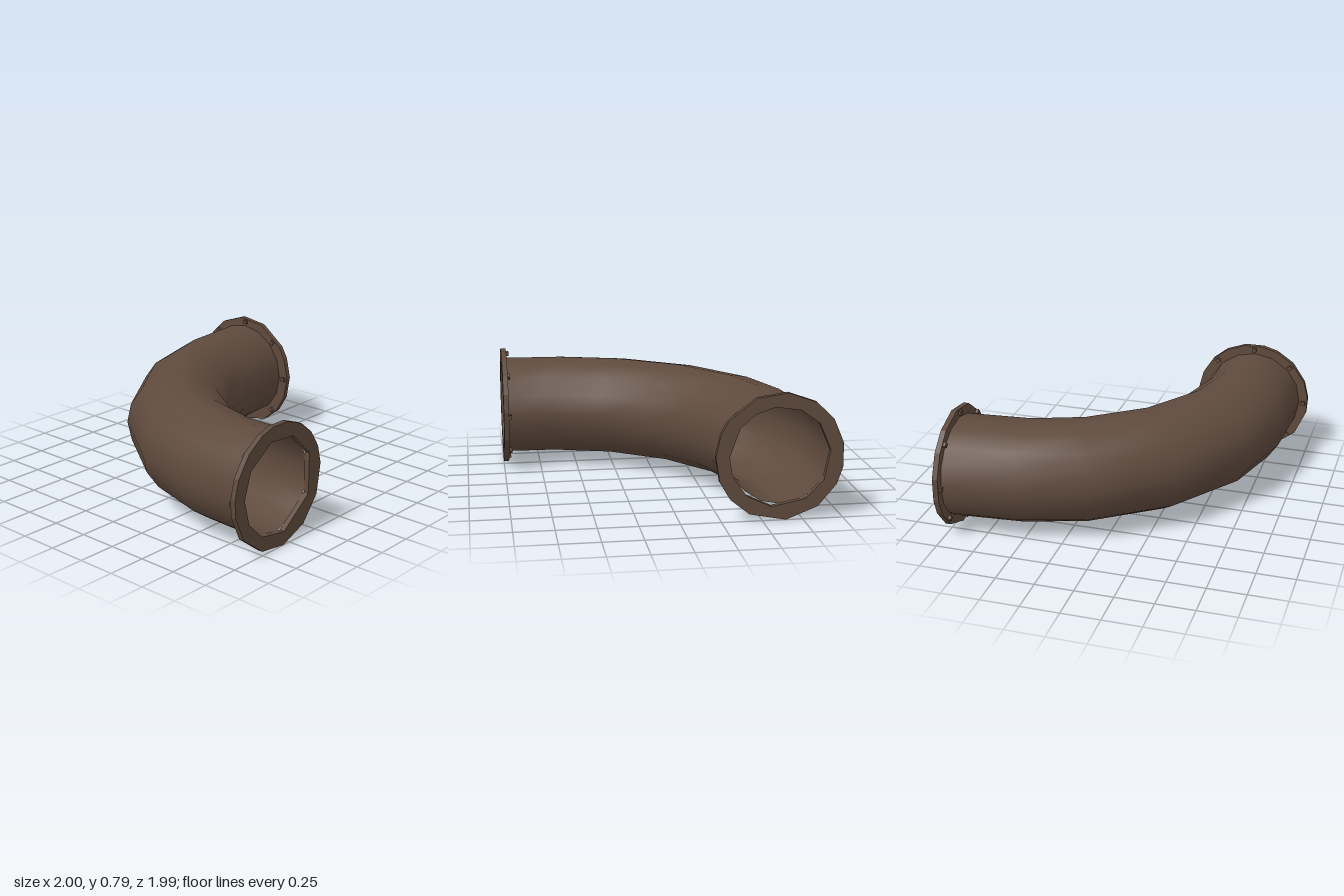
import * as THREE from 'three';

const CY = 0.4;    // height of the pipe axis
const R = 0.33;    // outer pipe radius
const BORE = 0.305;

// Each ring of the bend: [outer x, outer z, inner x, inner z]
const RINGS = [
  [-0.94, 0.97, -0.28, 0.97],
  [-0.91, 0.48, -0.28, 0.72],
  [-0.78, 0.05, -0.18, 0.37],
  [-0.43, -0.44, 0.02, 0.08],
  [0.06, -0.78, 0.29, -0.13],
  [0.5, -0.91, 0.56, -0.24],
  [0.97, -0.95, 0.97, -0.28],
];

// Loft a round section through the rings; inward flips the faces for the bore
function pipeWall(scale, inward) {
  const sides = 16, pos = [], idx = [];
  for (const [ox, oz, ix, iz] of RINGS) {
    const mx = (ox + ix) / 2, mz = (oz + iz) / 2;
    for (let j = 0; j < sides; j++) {
      const a = (j / sides) * Math.PI * 2, c = Math.cos(a) * scale;
      pos.push(mx + (ox - mx) * c, CY + Math.sin(a) * R * scale, mz + (oz - mz) * c);
    }
  }
  for (let i = 0; i < RINGS.length - 1; i++) {
    for (let j = 0; j < sides; j++) {
      const a = i * sides + j, b = i * sides + (j + 1) % sides;
      const c = a + sides, d = b + sides;
      if (inward) idx.push(a, c, b, b, c, d);
      else idx.push(a, b, c, b, d, c);
    }
  }
  const g = new THREE.BufferGeometry();
  g.setAttribute('position', new THREE.Float32BufferAttribute(pos, 3));
  g.setIndex(idx);
  g.computeVertexNormals();
  return g;
}

// Points on a circle at the given angles in degrees
const ringPoints = (angles, r) => angles.map((d) => {
  const a = THREE.MathUtils.degToRad(d);
  return new THREE.Vector2(Math.cos(a) * r, Math.sin(a) * r);
});

// Rough-cut flange facing local +z, with bolts on its back
function makeFlange(name, rim, hole, material) {
  const group = new THREE.Group();
  group.name = name;
  const shape = new THREE.Shape(ringPoints(rim, 0.395));
  shape.holes.push(new THREE.Path(ringPoints(hole, BORE + 0.005)));
  const plate = new THREE.Mesh(
    new THREE.ExtrudeGeometry(shape, { depth: 0.035, bevelEnabled: false }), material);
  plate.name = 'flangePlate';
  plate.position.z = -0.035;
  group.add(plate);

  const boltGeometry = new THREE.BoxGeometry(0.028, 0.028, 0.025);
  for (let i = 0; i < 8; i++) {
    const a = (i * Math.PI) / 4;
    const bolt = new THREE.Mesh(boltGeometry, material);
    bolt.name = 'bolt';
    bolt.position.set(Math.cos(a) * 0.365, Math.sin(a) * 0.365, -0.04);
    bolt.rotation.z = a;
    group.add(bolt);
  }
  return group;
}

export function createModel() {
  const model = new THREE.Group();
  model.name = 'pipeElbow';
  const rust = new THREE.MeshStandardMaterial({ color: 0x5f4a3d });
  rust.name = 'rustyBrown';

  // Curved pipe, outside and inside
  const outer = new THREE.Mesh(pipeWall(1, false), rust);
  outer.name = 'pipeOuterWall';
  const inner = new THREE.Mesh(pipeWall(BORE / R, true), rust);
  inner.name = 'pipeInnerWall';
  model.add(outer, inner);

  // Flange at the front end
  const front = makeFlange('frontFlange',
    [5, 23, 42, 60, 80, 99, 114, 134, 157, 175, 191, 217, 248, 277, 307, 336],
    [25, 67, 105, 146, 178, 210, 241, 280, 335], rust);
  front.position.set(-0.605, 0.395, 1);

  // Flange at the side end
  const side = makeFlange('sideFlange',
    [11, 35, 57, 84, 112, 144, 157, 178, 201, 220, 242, 276, 307, 333, 349],
    [6, 40, 67, 97, 120, 143, 178, 199, 229, 261, 302, 331], rust);
  side.position.set(1, 0.395, -0.605);
  side.rotation.y = Math.PI / 2;
  model.add(front, side);
  return model;
}
